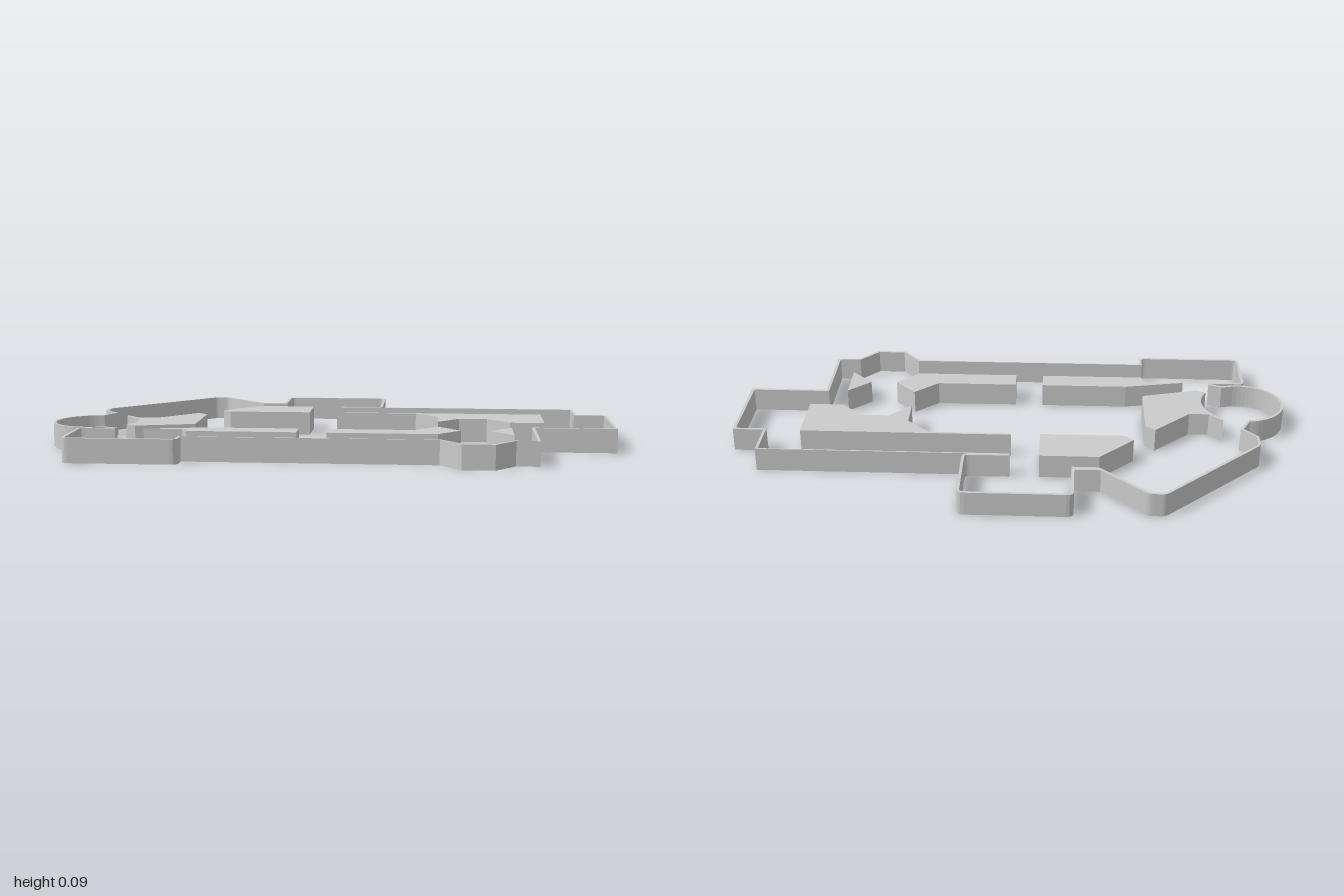
import * as THREE from 'three';

const HEIGHT = 0.085;
const WALL = 0.01;
const THIN = 0.005;

// Extrude a plan outline of [x, z] points upward from the ground.
function extrudePlan(name, points, material) {
  const shape = new THREE.Shape(points.map(([x, z]) => new THREE.Vector2(x, -z)));
  const geometry = new THREE.ExtrudeGeometry(shape, { depth: HEIGHT, bevelEnabled: false });
  geometry.rotateX(-Math.PI / 2);
  const mesh = new THREE.Mesh(geometry, material);
  mesh.name = name;
  return mesh;
}

// Points on an elliptical arc in plan.
function arc(cx, cz, rx, rz, from, to, steps) {
  return Array.from({ length: steps + 1 }, (_, i) => {
    const a = from + ((to - from) * i) / steps;
    return [cx + rx * Math.cos(a), cz + rz * Math.sin(a)];
  });
}

// Small quarter-round between two tangent points around a corner.
function rounded(a, corner, b) {
  return [0, 0.25, 0.5, 0.75, 1].map((t) =>
    [0, 1].map((k) => (1 - t) ** 2 * a[k] + 2 * t * (1 - t) * corner[k] + t * t * b[k]));
}

// Band along an open path: the path plus its mitred inward offset.
// A third value on a point sets the thickness of the segment after it.
function band(path) {
  const normals = path.slice(0, -1).map(([x, z], i) => {
    const dx = path[i + 1][0] - x, dz = path[i + 1][1] - z, l = Math.hypot(dx, dz);
    return { x: -dz / l, z: dx / l, t: path[i][2] ?? WALL };
  });
  const inner = path.map(([x, z], i) => {
    const a = normals[Math.max(i - 1, 0)], b = normals[Math.min(i, normals.length - 1)];
    const cross = a.x * b.z - a.z * b.x;
    // Nearly parallel neighbours share one offset; others meet at a mitre
    let ox = (a.x * a.t + b.x * b.t) / 2, oz = (a.z * a.t + b.z * b.t) / 2;
    if (Math.abs(cross) > 0.05) {
      ox = (a.t * b.z - b.t * a.z) / cross;
      oz = (b.t * a.x - a.t * b.x) / cross;
    }
    const limit = Math.min(1, 0.03 / Math.hypot(ox, oz));
    return [x + ox * limit, z + oz * limit];
  });
  return [...path, ...inner.reverse()];
}

export function createModel() {
  const model = new THREE.Group();
  model.name = 'floorPlan';
  const material = new THREE.MeshStandardMaterial({
    color: 0xcccccc, flatShading: true, side: THREE.DoubleSide,
  });

  // Perimeter from the back wall, around the right end, to the front left room
  const mainWall = [
    [0, -0.28, THIN], [0.89, -0.28], [0.89, -0.14], [1, -0.14], [1, 0.185],
    [0.715, 0.185], [0.715, 0.46, THIN], [0.635, 0.46], [0.565, 0.54], [0.455, 0.54],
    [0.385, 0.46, THIN], [-0.48, 0.46],
    ...rounded([-0.48, 0.495], [-0.48, 0.52], [-0.505, 0.52]),
    ...rounded([-0.85, 0.52], [-0.873, 0.52], [-0.873, 0.495]),
    ...rounded([-0.873, 0.32], [-0.873, 0.3], [-0.855, 0.3]),
    [-0.74, 0.3],
  ];

  // Round bay, slanted back left walls and the back room
  const bayWall = [
    [-0.74, 0.3], [-0.785, 0.28],
    ...arc(-0.847, 0.144, 0.153, 0.147, Math.PI * 0.46, Math.PI * 1.47, 28),
    [-0.833, -0.06], [-0.88, -0.115],
    ...rounded([-0.88, -0.165], [-0.88, -0.178], [-0.87, -0.188]),
    ...rounded([-0.54, -0.515], [-0.53, -0.525], [-0.515, -0.525]),
    ...rounded([-0.485, -0.525], [-0.47, -0.525], [-0.46, -0.515]),
    [-0.315, -0.377, 0.02], [-0.225, -0.377],
    ...rounded([-0.225, -0.52], [-0.225, -0.543], [-0.2, -0.543]),
    ...rounded([0.14, -0.543], [0.165, -0.543], [0.165, -0.52]),
    ...rounded([0.165, -0.305], [0.165, -0.28], [0.14, -0.28]),
    [0, -0.28, THIN],
  ];

  // Solid blocks inside the perimeter
  const blocks = {
    backBlock: [[-0.312, -0.286], [-0.103, -0.286], [-0.103, -0.13], [-0.405, -0.13], [-0.435, -0.16]],
    backRightBlock: [
      [0, -0.14], [0.757, -0.14], [0.757, 0.067], [0.635, 0.067], [0.555, -0.012],
      [0.455, -0.012], [0.378, 0.067], [0.378, -0.05], [0.295, -0.13], [0, -0.13],
    ],
    leftBlock: [
      [-0.515, -0.082], [-0.48, -0.05], [-0.48, 0.185], [-0.685, 0.24], [-0.72, 0.225],
      ...arc(-0.847, 0.144, 0.15, 0.147, 0.42, -0.99, 10),
      [-0.765, 0], [-0.717, 0.047], [-0.645, 0.047],
    ],
    frontLeftBlock: [
      [-0.64, 0.303], [-0.42, 0.26], [-0.103, 0.26], [-0.103, 0.342],
      [-0.483, 0.342], [-0.487, 0.318], [-0.505, 0.303],
    ],
    frontRightBlock: [[0, 0.26], [0.295, 0.26], [0.38, 0.182], [0.457, 0.26], [0.378, 0.342], [0, 0.342]],
    wedgeBlock: [[0.635, 0.182], [0.635, 0.342], [0.555, 0.26]],
  };

  model.add(extrudePlan('perimeterWall', band(mainWall), material));
  model.add(extrudePlan('bayAndBackRoomWall', band(bayWall), material));
  for (const [name, points] of Object.entries(blocks)) {
    model.add(extrudePlan(name, points, material));
  }
  return model;
}
